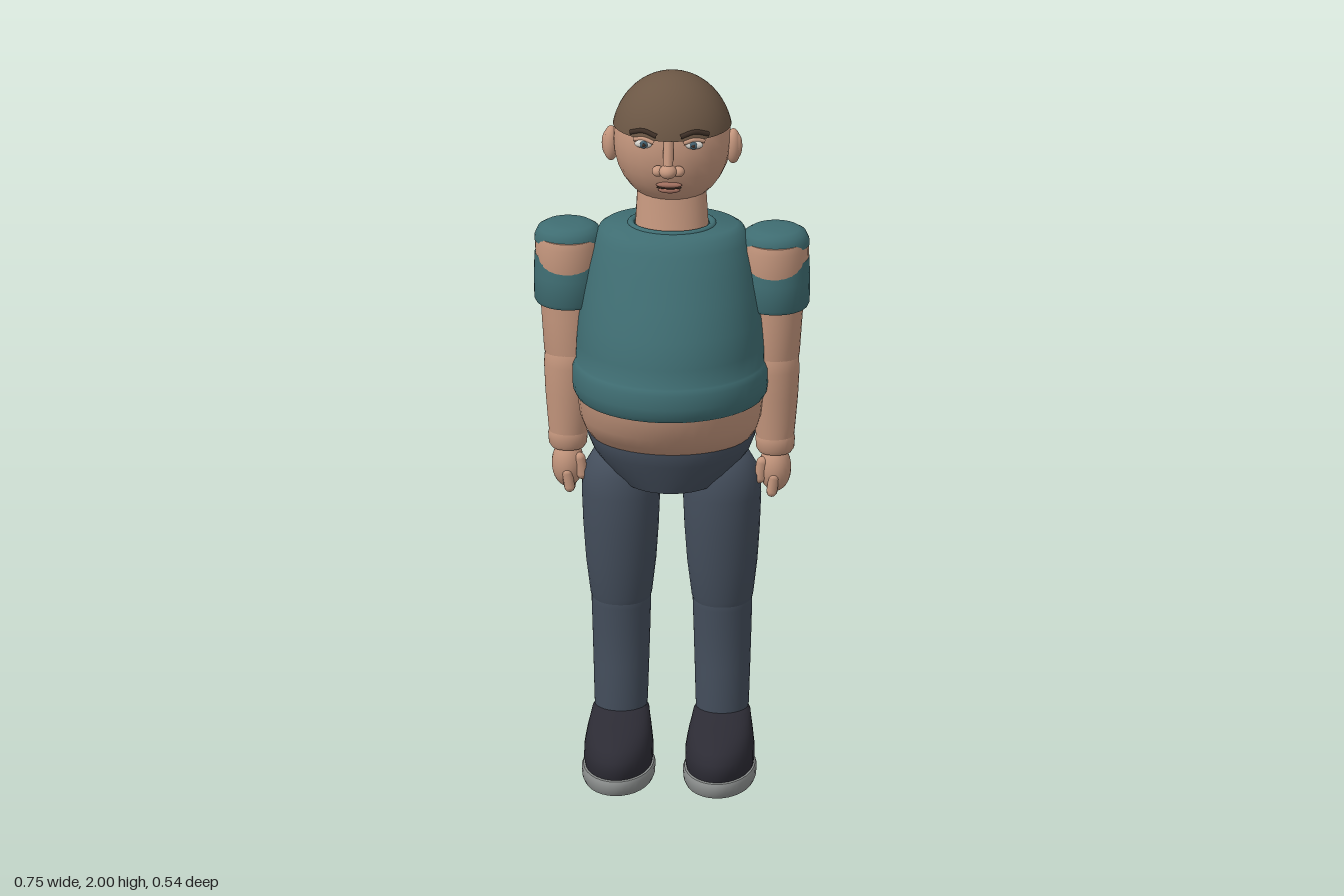
import * as THREE from 'three';
import { toCreasedNormals } from 'three/addons/utils/BufferGeometryUtils.js';

const mat = (name, color) => Object.assign(new THREE.MeshStandardMaterial({ color }), { name });

export function createModel() {
  const model = new THREE.Group();
  model.name = 'standingMan';
  const skin = mat('skin', 0xc4967d), shirt = mat('teal shirt', 0x3f6d72), pants = mat('slate trousers', 0x444e5c);
  const shoe = mat('dark shoe', 0x2c2b34), soleGrey = mat('sole grey', 0x8b8e8d), hair = mat('brown hair', 0x6c5745);
  const dark = mat('dark brown', 0x3d2f26), white = mat('eye white', 0xd8d5ce);
  const iris = mat('eye blue', 0x44606e), lip = mat('lip', 0xa06e5e);

  const add = (name, geo, material, parent = model) => {
    const m = new THREE.Mesh(geo, material);
    m.name = name;
    parent.add(m);
    return m;
  };

  // Closed loft through elliptical rings, bottom to top: [y, half width, front z, back z, centre x]
  const loft = (name, rows, material, parent = model, n = 32) => {
    const pos = [], idx = [], last = rows.length - 1;
    for (const [y, rx, zf, zb, cx = 0] of rows)
      for (let k = 0; k < n; k++) {
        const a = (k / n) * Math.PI * 2;
        pos.push(cx + rx * Math.cos(a), y, (zf + zb) / 2 + ((zf - zb) / 2) * Math.sin(a));
      }
    for (let i = 0; i < last; i++)
      for (let k = 0; k < n; k++) {
        const a = i * n + k, b = i * n + ((k + 1) % n);
        idx.push(a, a + n, b, b, a + n, b + n);
      }
    for (const i of [0, last]) {
      const [y, , zf, zb, cx = 0] = rows[i], c = pos.length / 3;
      pos.push(cx, y, (zf + zb) / 2);
      for (let k = 0; k < n; k++) {
        const a = i * n + k, b = i * n + ((k + 1) % n);
        if (i) idx.push(c, b, a); else idx.push(c, a, b);
      }
    }
    const g = new THREE.BufferGeometry();
    g.setAttribute('position', new THREE.Float32BufferAttribute(pos, 3));
    g.setIndex(idx);
    return add(name, toCreasedNormals(g, 0.75), material, parent);
  };

  const ball = (name, r, p, material, parent = model) => {
    const m = add(name, new THREE.SphereGeometry(1, 24, 16), material, parent);
    m.scale.set(...r);
    m.position.set(...p);
    return m;
  };

  const tube = (name, pts, r, material, parent = model) => add(name, new THREE.TubeGeometry(
    new THREE.CatmullRomCurve3(pts.map(p => new THREE.Vector3(...p))), 12, r, 8), material, parent);

  // Torso: shirt with a rolled hem, bare belly, waistband and seat
  loft('shirtBody', [
    [1.10, .258, .258, -.255], [1.115, .266, .268, -.264], [1.14, .269, .272, -.267], [1.18, .268, .27, -.266],
    [1.195, .262, .264, -.262], [1.2, .259, .26, -.262], [1.25, .258, .255, -.264], [1.32, .253, .23, -.262],
    [1.4, .241, .192, -.252], [1.47, .228, .153, -.235], [1.53, .212, .122, -.212], [1.56, .197, .1, -.195],
    [1.572, .18, .08, -.175],
  ], shirt, model, 40);
  loft('shirtLining', [[1.092, .25, .25, -.247], [1.105, .255, .256, -.252]], shoe, model, 40);
  loft('belly', [
    [.965, .2, .15, -.2], [.975, .222, .172, -.215], [1.0, .236, .2, -.23], [1.04, .248, .238, -.24], [1.1, .255, .254, -.245],
  ], skin, model, 40);
  loft('waistband', [[.99, .23, .155, -.243], [1.012, .23, .155, -.243]], shoe, model, 40);
  loft('trouserSeat', [
    [.842, .14, .118, -.2], [.88, .178, .135, -.216], [.93, .214, .154, -.23], [.97, .23, .168, -.24], [1.0, .233, .165, -.245],
  ], pants, model, 40);

  // Head and neck
  loft('neck', [[1.54, .105, .045, -.135], [1.575, .1, .033, -.125], [1.66, .095, .028, -.118], [1.69, .09, .02, -.115]], skin);
  const collar = add('collar', new THREE.TorusGeometry(1, .09, 10, 36), shirt);
  collar.rotation.x = Math.PI / 2;
  collar.scale.set(.112, .092, .1);
  collar.position.set(0, 1.57, -.046);

  const cy = 1.815, cz = -.06;
  ball('head', [.162, .186, .15], [0, cy, cz], skin);
  const cap = add('hair', new THREE.SphereGeometry(1, 40, 16, 0, Math.PI * 2, 0, 1.35), hair);
  hair.side = THREE.DoubleSide;
  cap.scale.set(.166, .187, .154);
  cap.position.set(0, cy, cz);
  const faceZ = (x, y) => cz + .15 * Math.sqrt(1 - (x / .162) ** 2 - ((y - cy) / .186) ** 2);
  const onFace = (x, y, lift) => [x, y, faceZ(x, y) + lift];

  tube('noseBridge', [[0, 1.855, .085], [0, 1.82, .098], [0, 1.78, .112]], .014, skin);
  ball('noseTip', [.024, .02, .025], [0, 1.777, .112], skin);
  ball('upperLip', [.036, .008, .01], onFace(0, 1.724, .002), lip);
  ball('lowerLip', [.03, .009, .011], onFace(0, 1.706, .002), lip);
  ball('mouthLine', [.034, .003, .012], onFace(0, 1.715, .002), dark);

  for (const s of [1, -1]) {
    const side = s > 0 ? 'left' : 'right';
    const face = new THREE.Group();
    face.name = side + 'FaceSide';
    model.add(face);
    ball('nostril', [.017, .015, .018], [.028 * s, 1.773, .098], skin, face);
    ball('eye', [.026, .012, .01], onFace(.068 * s, 1.843, .001), white, face);
    ball('iris', [.011, .011, .006], onFace(.068 * s, 1.843, .008), iris, face);
    ball('pupil', [.005, .005, .003], onFace(.068 * s, 1.843, .0125), dark, face);
    tube('eyelid', [.04, .068, .096].map((x, i) => onFace(x * s, i === 1 ? 1.857 : 1.85, .003)), .006, skin, face);
    tube('eyebrow', [.032, .07, .106].map((x, i) => onFace(x * s, [1.868, 1.878, 1.866][i], .003)), .007, dark, face);
    ball('ear', [.022, .05, .026], [.167 * s, 1.795, -.055], skin, face);
    ball('earFold', [.012, .034, .015], [.18 * s, 1.797, -.052], skin, face);

    // Arm: capped shoulder, short sleeve, bent segments, wrist and hand
    const arm = new THREE.Group();
    arm.name = side + 'Arm';
    model.add(arm);
    const x = .283 * s;
    loft('shoulderCap', [
      [1.515, .093, .034, -.138, x], [1.53, .092, .035, -.139, x], [1.55, .083, .026, -.13, x],
      [1.56, .066, .012, -.116, x], [1.564, .035, -.02, -.085, x],
    ], shirt, arm);
    loft('shoulder', [
      [1.38, .084, .036, -.14, x], [1.45, .09, .043, -.149, x], [1.51, .091, .046, -.152, x], [1.53, .086, .042, -.148, x],
    ], skin, arm);
    loft('sleeve', [
      [1.34, .088, .042, -.142, x], [1.35, .093, .047, -.147, x], [1.42, .094, .046, -.148, x], [1.478, .0925, .036, -.139, x],
    ], shirt, arm);
    loft('upperArm', [
      [1.185, .07, .026, -.118, .275 * s], [1.2, .073, .028, -.12, .276 * s], [1.3, .077, .03, -.127, .279 * s], [1.4, .08, .03, -.13, x],
    ], skin, arm);
    loft('forearm', [
      [.95, .05, .014, -.078, x], [1.0, .056, .018, -.088, .282 * s], [1.08, .065, .024, -.104, .28 * s],
      [1.16, .071, .029, -.115, .278 * s], [1.2, .07, .028, -.116, .276 * s], [1.22, .06, .02, -.105, .276 * s],
    ], skin, arm);
    loft('wrist', [
      [.92, .044, .008, -.072, x], [.932, .052, .014, -.08, x], [.96, .054, .017, -.083, x], [.972, .05, .014, -.08, x],
    ], skin, arm);
    ball('palm', [.044, .068, .046], [x, .873, -.031], skin, arm);
    for (let i = 0; i < 4; i++) {
      const f = add('finger', new THREE.CapsuleGeometry(.0145, .04, 4, 10), skin, arm);
      f.position.set(x - .004 * s, .828 + (i === 3 ? .012 : i === 0 ? .006 : 0), .005 - i * .022);
      f.rotation.z = -.15 * s;
    }
    const thumb = add('thumb', new THREE.CapsuleGeometry(.016, .045, 4, 10), skin, arm);
    thumb.position.set(.246 * s, .872, -.008);
    thumb.rotation.z = -.15 * s;

    // Leg: thigh, shin, shoe and sole
    const leg = new THREE.Group();
    leg.name = side + 'Leg';
    model.add(leg);
    const lx = .138 * s;
    loft('thigh', [
      [.485, .08, .038, -.128, lx], [.5, .084, .042, -.13, lx], [.6, .096, .058, -.136, lx], [.7, .103, .069, -.139, lx],
      [.8, .107, .074, -.14, lx], [.86, .105, .07, -.137, lx], [.91, .085, .05, -.115, .13 * s], [.935, .045, .01, -.08, .125 * s],
    ], pants, leg);
    loft('shin', [
      [.13, .07, .03, -.106, lx], [.2, .073, .034, -.118, lx], [.3, .076, .03, -.127, lx], [.4, .079, .03, -.131, lx],
      [.47, .081, .037, -.13, lx], [.5, .081, .038, -.127, lx], [.53, .07, .03, -.12, lx],
    ], pants, leg);
    loft('shoeUpper', [
      [.035, .09, .215, -.108, lx], [.06, .094, .224, -.112, lx], [.09, .094, .22, -.113, lx], [.115, .09, .195, -.114, lx],
      [.135, .086, .155, -.115, lx], [.152, .081, .1, -.114, lx], [.168, .077, .047, -.112, lx], [.178, .07, .028, -.106, lx],
    ], shoe, leg);
    loft('sole', [
      [0, .094, .226, -.113, lx], [.012, .099, .233, -.119, lx], [.034, .1, .235, -.12, lx], [.042, .096, .23, -.115, lx],
    ], soleGrey, leg);

    // Thin shirt crease across the shoulder blade
    tube('backCrease', [[.06 * s, 1.43, -.244], [.13 * s, 1.425, -.236], [.2 * s, 1.42, -.225]], .0025, dark);
  }
  return model;
}
